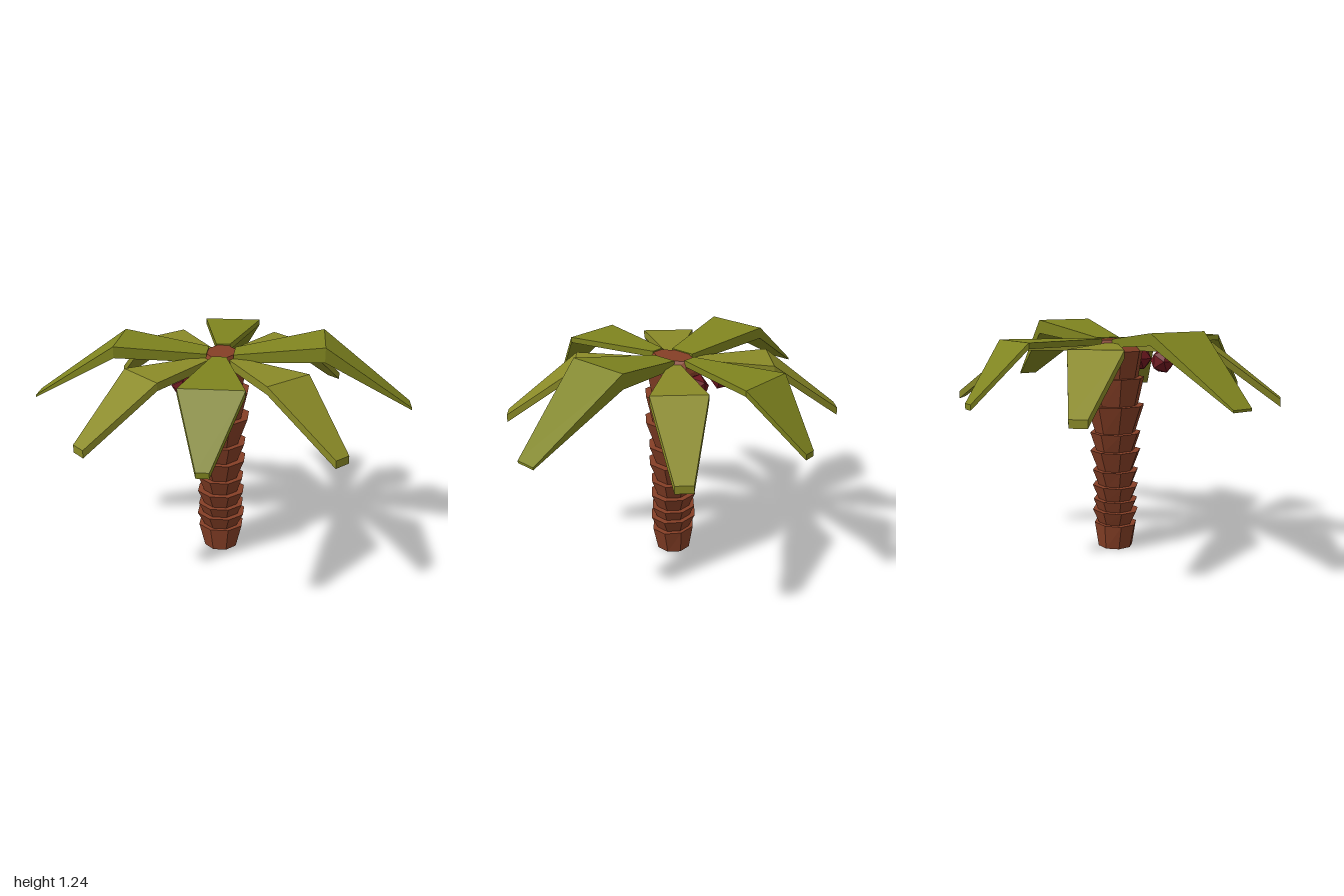
import * as THREE from 'three';

const paint = (color) => new THREE.MeshStandardMaterial({ color, flatShading: true });

// Frond along +x; stations are [distance, halfWidth, topY, bottomY, sideShift]
function frondGeometry(stations) {
  const pos = [], idx = [];
  for (const [r, w, top, bottom, shift = 0] of stations) {
    pos.push(r, top, shift - w, r, top, shift + w, r, bottom, shift + w, r, bottom, shift - w);
  }
  const quad = (a, b, c, d) => idx.push(a, b, c, a, c, d);
  const last = (stations.length - 1) * 4;
  for (let s = 0; s < last; s += 4) {
    for (let k = 0; k < 4; k++) {
      const n = (k + 1) % 4;
      quad(s + k, s + n, s + 4 + n, s + 4 + k);
    }
  }
  quad(3, 2, 1, 0);
  quad(last, last + 1, last + 2, last + 3);
  const g = new THREE.BufferGeometry();
  g.setAttribute('position', new THREE.Float32BufferAttribute(pos, 3));
  g.setIndex(idx);
  const flat = g.toNonIndexed();
  flat.computeVertexNormals();
  return flat;
}

// Eight-sided ring piece; sizes are distances to the flat sides
function ringGeometry(y0, x0, z0, y1, x1, z1) {
  const r = 1 / Math.cos(Math.PI / 8);
  const g = new THREE.CylinderGeometry(r, r, y1 - y0, 8, 1, false, Math.PI / 8);
  g.translate(0, (y0 + y1) / 2, 0);
  const p = g.attributes.position, mid = (y0 + y1) / 2;
  for (let i = 0; i < p.count; i++) {
    const up = p.getY(i) > mid;
    p.setX(i, p.getX(i) * (up ? x1 : x0));
    p.setZ(i, p.getZ(i) * (up ? z1 : z0));
  }
  g.computeVertexNormals();
  return g;
}

export function createModel() {
  const model = new THREE.Group();
  const bark = paint(0x853f26), leaf = paint(0x7f841f), paleLeaf = paint(0x8a8a27), red = paint(0x701820);
  const add = (parent, name, geometry, material) => {
    const mesh = new THREE.Mesh(geometry, material);
    mesh.name = name;
    parent.add(mesh);
    return mesh;
  };

  // Trunk: stacked flaring rings [bottomY, bottomX, bottomZ, topY, topX, topZ]
  const trunk = new THREE.Group();
  trunk.name = 'trunk';
  model.add(trunk);
  [
    [0, 0.088, 0.088, 0.135, 0.12, 0.105],
    [0.135, 0.09, 0.085, 0.21, 0.128, 0.115],
    [0.21, 0.095, 0.088, 0.27, 0.12, 0.112],
    [0.27, 0.09, 0.085, 0.35, 0.125, 0.116],
    [0.35, 0.09, 0.085, 0.435, 0.12, 0.117],
    [0.435, 0.088, 0.09, 0.545, 0.13, 0.13],
    [0.545, 0.092, 0.1, 0.645, 0.13, 0.13],
    [0.645, 0.095, 0.105, 0.795, 0.147, 0.148],
    [0.795, 0.11, 0.118, 0.945, 0.145, 0.148],
    [0.945, 0.11, 0.12, 1.09, 0.14, 0.14],
    [1.09, 0.14, 0.14, 1.15, 0.072, 0.112],
  ].forEach((ring) => add(trunk, 'trunkRing', ringGeometry(...ring), bark));

  // Fronds: four along the axes, four lower ones between them
  const fronds = new THREE.Group();
  fronds.name = 'fronds';
  model.add(fronds);
  const frond = (name, angle, stations, material) => {
    add(fronds, name, frondGeometry(stations), material).rotation.y = angle;
  };
  frond('leftFrond', 0, [[0.07, 0.07, 1.155, 1.11], [0.535, 0.168, 1.237, 1.16], [1, 0.055, 0.892, 0.88]], leaf);
  frond('rightFrond', Math.PI, [[0.07, 0.07, 1.155, 1.11], [0.535, 0.165, 1.21, 1.15], [1, 0.055, 0.892, 0.88]], leaf);
  for (const s of [1, -1]) {
    frond(s > 0 ? 'backFrond' : 'frontFrond', s * Math.PI / 2,
      [[0.11, 0.037, 1.157, 1.125], [0.603, 0.158, 1.16, 1.13, s * 0.012], [0.865, 0.031, 0.867, 0.838]], leaf);
  }
  for (let i = 0; i < 4; i++) {
    frond('diagonalFrond', Math.PI / 4 + i * Math.PI / 2,
      [[0.1, 0.03, 1.135, 1.09], [0.509, 0.14, 1.13, 1.09], [0.88, 0.044, 0.852, 0.812]], paleLeaf);
  }

  // Fruits hanging under the crown
  for (const x of [-0.17, 0.04]) {
    for (const z of [-0.19, 0.19]) {
      add(model, 'fruit', new THREE.IcosahedronGeometry(0.07, 0), red).position.set(x, 1.035, z);
    }
  }
  return model;
}
